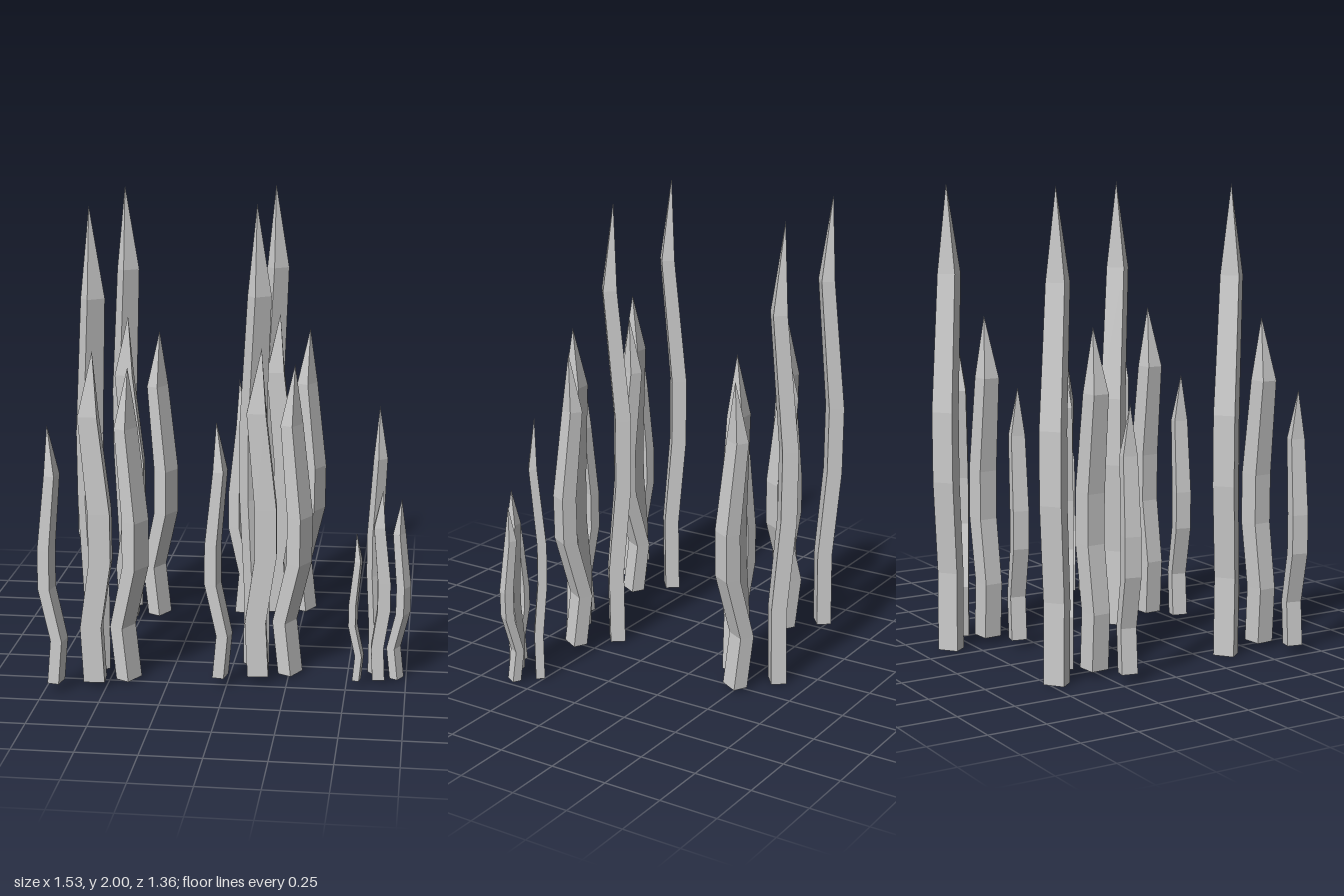
import * as THREE from 'three';

const material = new THREE.MeshStandardMaterial({ color: 0xcccccc, flatShading: true });

// Heights (as fractions of the blade) and thickness of the cross-sections
const LEVELS = [0, 0.17, 0.37, 0.52, 0.81, 1];
const TAPER = [1, 1, 1.03, 1.03, 0.9, 0];

// Each blade: base x/z, bottom and top height, direction of the bend,
// thickness along the bend, width across it, and the sway at every level
const BLADES = [
  { name: 'tallBlade', x: 0.097, z: -0.604, y0: 0, y1: 2, dir: [-0.62, -0.78],
    thick: 0.066, width: 0.09, sway: [0, -0.004, 0.03, 0.032, -0.02, 0] },
  { name: 'outerBlade', x: 0.256, z: -0.487, y0: 0.01, y1: 1.357, dir: [0.87, 0.48],
    thick: 0.064, width: 0.093, sway: [0, -0.03, 0.041, 0.044, 0, 0.014] },
  { name: 'middleBlade', x: 0.125, z: -0.41, y0: 0.027, y1: 1.434, dir: [1, -0.07],
    thick: 0.088, width: 0.08, sway: [0, -0.011, 0.031, 0.031, -0.009, 0.012] },
  { name: 'shortBlade', x: -0.028, z: -0.343, y0: 0.037, y1: 1.14, dir: [-0.98, -0.2],
    thick: 0.05, width: 0.068, sway: [0, -0.018, 0.032, 0.031, -0.002, 0.014] },
];

// Four-sided blade lofted through swaying sections up to a pointed tip
function bladeGeometry({ x, z, y0, y1, dir, thick, width, sway }) {
  const d = new THREE.Vector2(...dir).normalize();
  const corners = [[1, 1], [1, -1], [-1, -1], [-1, 1]];
  const positions = [];
  const index = [];
  LEVELS.forEach((level, i) => {
    for (const [a, b] of corners) {
      const along = sway[i] + (a * thick * TAPER[i]) / 2;
      const across = (b * width * TAPER[i]) / 2;
      positions.push(
        x + d.x * along - d.y * across,
        y0 + (y1 - y0) * level,
        z + d.y * along + d.x * across
      );
    }
  });
  for (let i = 0; i < LEVELS.length - 1; i++) {
    for (let k = 0; k < 4; k++) {
      const a = i * 4 + k;
      const b = i * 4 + ((k + 1) % 4);
      index.push(a, b, b + 4);
      if (i < LEVELS.length - 2) index.push(a, b + 4, a + 4);
    }
  }
  index.push(0, 2, 1, 0, 3, 2); // base cap
  const geometry = new THREE.BufferGeometry();
  geometry.setAttribute('position', new THREE.Float32BufferAttribute(positions, 3));
  geometry.setIndex(index);
  const flat = geometry.toNonIndexed();
  flat.computeVertexNormals();
  return flat;
}

export function createModel() {
  const model = new THREE.Group();
  model.name = 'grassBlades';
  const parts = BLADES.map((b) => ({ name: b.name, geometry: bladeGeometry(b) }));

  // Tufts: x offset, z offset, scale
  const tufts = [
    ['backLeftTuft', 0, 0, 1],
    ['frontLeftTuft', 0, 0.833, 1],
    ['backRightTuft', -0.675, 0.139, 1],
    ['frontRightTuft', -0.675, 0.972, 1],
    ['smallTuft', 0.56, 0.633, 0.587],
  ];
  for (const [name, x, z, scale] of tufts) {
    const tuft = new THREE.Group();
    tuft.name = name;
    for (const part of parts) {
      const mesh = new THREE.Mesh(part.geometry, material);
      mesh.name = part.name;
      tuft.add(mesh);
    }
    tuft.position.set(x, 0, z);
    tuft.scale.setScalar(scale);
    model.add(tuft);
  }
  return model;
}
